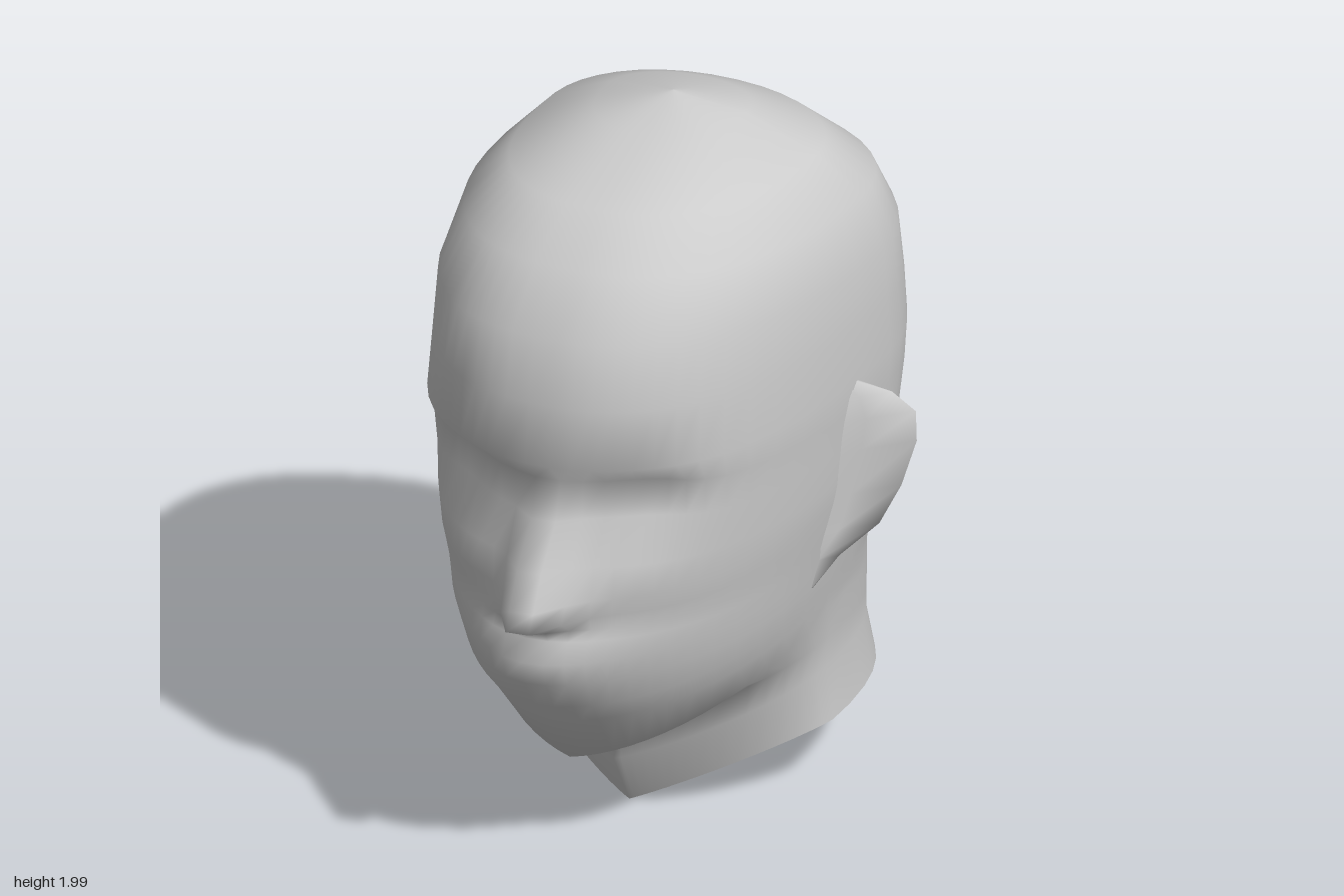
import * as THREE from 'three';

const material = new THREE.MeshStandardMaterial({ color: 0xcccccc, side: THREE.DoubleSide });

// Skin a list of cross-sections (top to bottom) with one smooth surface
function loft(name, rows, closed) {
  const n = rows[0].length, index = [];
  for (let i = 0; i < rows.length - 1; i++) {
    for (let j = 0; j < (closed ? n : n - 1); j++) {
      const k = (j + 1) % n;
      const a = i * n + j, b = i * n + k, c = a + n, d = b + n;
      index.push(a, c, b, b, c, d);
    }
  }
  const geometry = new THREE.BufferGeometry();
  geometry.setAttribute('position', new THREE.Float32BufferAttribute(rows.flat(2), 3));
  geometry.setIndex(index);
  geometry.computeVertexNormals();
  const mesh = new THREE.Mesh(geometry, material);
  mesh.name = name;
  return mesh;
}

// Front profile without nose, lips and sockets, crown to neck rim: [y, z], one loop per point
const front = [
  [2, -0.15], [1.97, 0.07], [1.89, 0.37], [1.78, 0.52], [1.63, 0.645], [1.45, 0.675],
  [1.28, 0.71], [1.21, 0.685], [1.1, 0.67], [0.98, 0.655], [0.88, 0.645], [0.83, 0.63],
  [0.79, 0.62], [0.76, 0.62], [0.7, 0.615], [0.63, 0.585], [0.54, 0.57], [0.46, 0.535],
  [0.29, 0.44], [0.29, 0.2], [0.17, 0.19], [0.01, 0.1],
];

// Side profile: [loop number, x, y, z]
const side = [
  [0, 0.001, 2, -0.15], [1, 0.2, 1.965, -0.17], [2, 0.39, 1.865, -0.2], [3, 0.5, 1.75, -0.24],
  [4, 0.545, 1.58, -0.27], [6, 0.56, 1.28, -0.28], [9, 0.54, 1, -0.27], [12, 0.51, 0.83, -0.24],
  [18, 0.46, 0.58, -0.2], [20, 0.44, 0.38, -0.2], [21, 0.455, 0.22, -0.2],
];

// Back profile: [loop number, y, z]
const back = [
  [0, 2, -0.151], [1, 1.94, -0.36], [2, 1.86, -0.52], [3, 1.72, -0.69], [4, 1.6, -0.76],
  [5, 1.4, -0.8], [7, 1.17, -0.805], [10, 0.87, -0.725], [13, 0.75, -0.69],
  [16, 0.63, -0.67], [20, 0.41, -0.667], [21, 0.265, -0.69],
];

// Values of a profile at any loop number
function at(profile, row) {
  const i = Math.max(1, profile.findIndex((key) => key[0] >= row));
  const [p, q] = [profile[i - 1], profile[i]];
  const t = (row - p[0]) / (q[0] - p[0]);
  return p.slice(1).map((v, k) => THREE.MathUtils.lerp(v, q[k + 1], t));
}

const bell = (d, width) => Math.exp(-((d / width) ** 2));

// How far the face stands out at x on the loop whose front height is y
function faceRelief(x, y) {
  const ax = Math.abs(x);
  const nose = Math.max(0, Math.min(0.4 * (1.24 - y), 3 * (y - 0.775)));
  const lips = 0.12 * bell(y - 0.65, 0.16);
  const eyes = bell(y - 1.16, 0.09);
  return nose * bell(x - 0.03, 0.05 + nose / 4) + lips * bell(x, 0.22)
    - eyes * (0.08 * bell(Math.max(0, ax - 0.28), 0.12) + 0.06 * bell(ax - 0.26, 0.12));
}

// One loop around the head through its front, side and back points
function headLoop([frontY, frontZ], row) {
  const [sideX, sideY, sideZ] = at(side, row);
  const [backY, backZ] = at(back, row);
  const taper = (Math.max(0, row - 15) / 6) ** 1.3; // loops grow pointed towards the neck rim
  const loop = [], columns = 48;
  for (let j = 0; j < columns; j++) {
    const t = (j / columns) * Math.PI * 2;
    const angle = t - 0.35 * Math.sin(t); // closer columns on the face
    const sin = Math.sin(angle), cos = Math.cos(angle), reach = Math.abs(cos);
    const power = 2 / (cos > 0 ? 2.35 - 0.95 * taper : 2.1 + taper);
    const across = Math.abs(sin) ** power;
    const x = Math.sign(sin) * sideX * across;
    let y = sideY + (backY - sideY) * reach;
    let z = sideZ + (backZ - sideZ) * reach ** power;
    if (cos > 0) {
      y = sideY + (frontY - sideY) * THREE.MathUtils.lerp(reach, 1 - across, taper);
      z = sideZ + (frontZ - sideZ) * reach ** power;
      if (row < 18) z += faceRelief(x, frontY);
    }
    loop.push([x, y, z]);
  }
  return loop;
}

// Ear: a flap that rises from the cheek to a sharp rear rim [x, y, z]
const earRim = [
  [0.53, 1.29, -0.11], [0.63, 1.235, -0.19], [0.68, 1.17, -0.23], [0.68, 1.08, -0.235],
  [0.645, 0.95, -0.215], [0.605, 0.85, -0.165], [0.525, 0.77, -0.09], [0.46, 0.66, -0.01],
];

function ear(name, sign) {
  const rows = earRim.map(([x, y, z], i) => {
    const t = i / (earRim.length - 1), swell = Math.sin(Math.PI * t);
    const base = 0.53 - 0.075 * t;
    const frontZ = 0.02 - 0.1 * (1 - t) ** 2, backZ = z + 0.02 * swell;
    return [
      [sign * base, y, frontZ],
      [sign * ((base + x) / 2 - 0.015 * swell), y, (frontZ + z) / 2],
      [sign * x, y, z],
      [sign * (base + (x - base) * 0.4), y, backZ - 0.01],
      [sign * (base - 0.03), y, backZ],
    ];
  });
  return loft(name, rows, false);
}

export function createModel() {
  const model = new THREE.Group();
  model.name = 'head';
  const loops = front.map(headLoop);
  model.add(loft('headAndNeck', loops, true));
  model.add(ear('leftEar', 1), ear('rightEar', -1));

  // Hollow underside of the neck, arching up from the rim
  const hollow = [1, 0.85, 0.5, 0.01].map((scale) => loops.at(-1).map(([x, y, z]) => [
    x * scale, THREE.MathUtils.lerp(0.36, y, scale ** 2), -0.28 + (z + 0.28) * scale,
  ]));
  model.add(loft('neckHollow', hollow, true));

  // Stump inside the hollow neck
  const stump = new THREE.Mesh(new THREE.CylinderGeometry(0.13, 0.09, 0.2, 8), material);
  stump.name = 'neckStump';
  stump.position.set(0.08, 0.28, -0.5);
  stump.rotation.x = -0.08;
  model.add(stump);
  return model;
}
